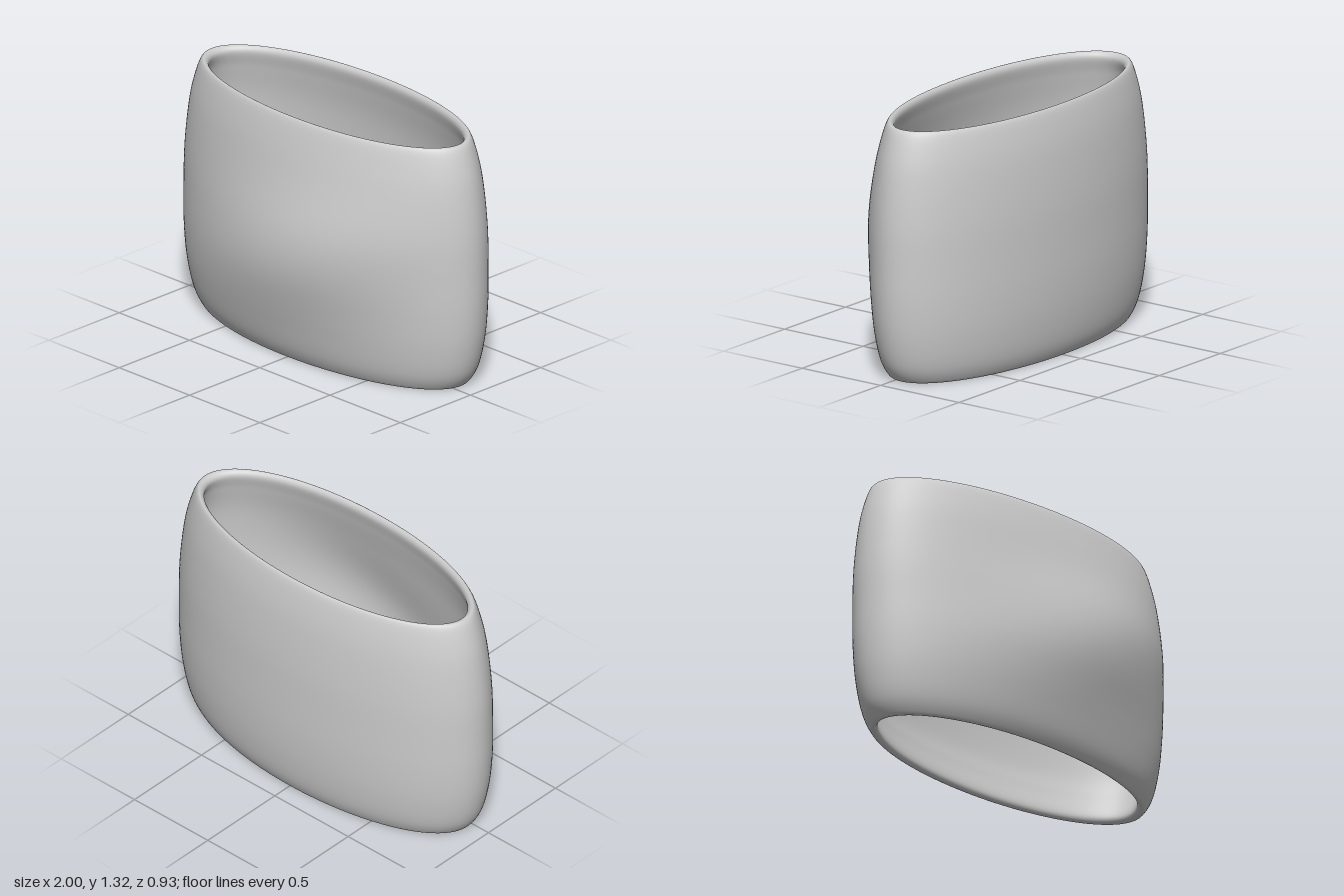
import * as THREE from 'three';

const AROUND = 128, LOOP = 160;

// Closed wall section: [height, inset], outside going down, then inside going up
const SECTION = [
  [1.32, 0.82], [1.3, 0.65], [1.2, 0.4], [1.1, 0.24], [0.95, 0.1], [0.8, 0.02], [0.62, 0],
  [0.45, 0.01], [0.3, 0.08], [0.18, 0.21], [0.09, 0.38], [0.025, 0.62], [0, 0.82],
  [0.03, 1], [0.15, 0.75], [0.3, 0.5], [0.66, 0.4], [1.0, 0.52], [1.2, 0.82], [1.29, 1],
];

// Slanted soft swelling on the front wall
function swelling(x, y, front) {
  if (front <= 0) return 0;
  const dx = (x - 0.35) / 0.75;
  const dy = (y - 0.68 - 0.23 * (x - 0.35)) / 0.25;
  return 0.095 * front * front * Math.exp(-(dx * dx + dy * dy) / 2);
}

function sleeveGeometry() {
  const curve = new THREE.CatmullRomCurve3(
    SECTION.map(([y, s]) => new THREE.Vector3(s, y, 0)), true, 'centripetal');
  const positions = [], index = [];
  for (let j = 0; j < LOOP; j++) {
    const p = curve.getPoint(j / LOOP);
    const a = 1 - 0.15 * p.x, b = 0.42 - 0.1 * p.x;
    const y = THREE.MathUtils.clamp(p.y, 0, 1.32);
    for (let i = 0; i < AROUND; i++) {
      const t = (i / AROUND) * Math.PI * 2;
      const x = a * Math.cos(t), front = Math.sin(t);
      positions.push(x, y, b * front - 0.045 + swelling(x, y, front));
      // Wrap both ways so the skin is seamless
      const i2 = (i + 1) % AROUND, j2 = (j + 1) % LOOP;
      const q = [j * AROUND + i, j * AROUND + i2, j2 * AROUND + i, j2 * AROUND + i2];
      index.push(q[0], q[1], q[2], q[1], q[3], q[2]);
    }
  }
  const geometry = new THREE.BufferGeometry();
  geometry.setAttribute('position', new THREE.Float32BufferAttribute(positions, 3));
  geometry.setIndex(index);
  geometry.computeVertexNormals();
  return geometry;
}

export function createModel() {
  const group = new THREE.Group();
  group.name = 'ovalSleeve';
  const grey = new THREE.MeshStandardMaterial({ color: 0xcccccc });
  grey.name = 'lightGrey';
  const sleeve = new THREE.Mesh(sleeveGeometry(), grey);
  sleeve.name = 'sleeve';
  group.add(sleeve);
  return group;
}
